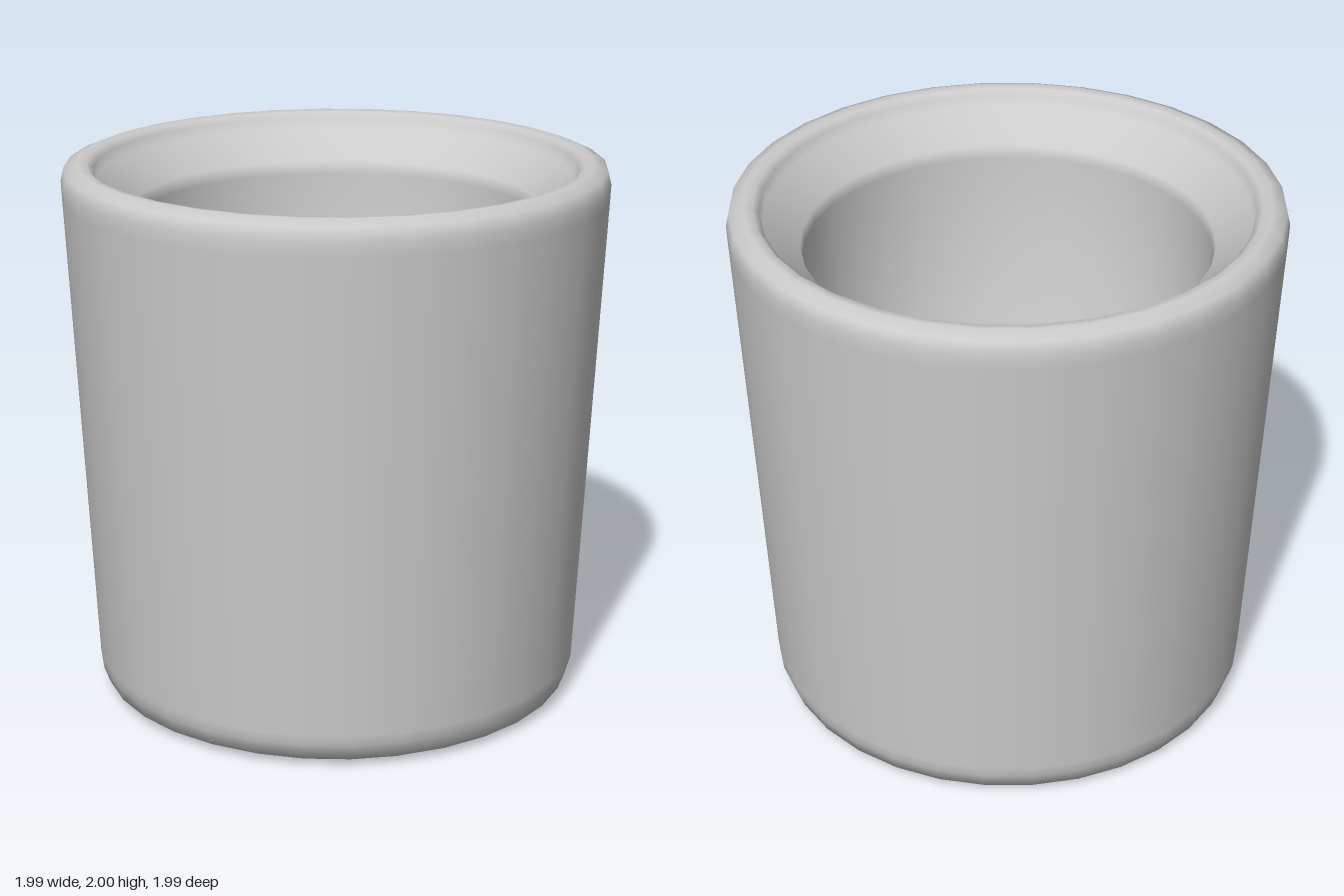
import * as THREE from 'three';

const SIDES = 32;

// One closed profile: underside, outer wall, rounded lip, inner step, hollow and floor.
const PROFILE = [
  // flat underside with a soft bottom edge
  [0, 0], [0.80, 0], [0.835, 0.005], [0.882, 0.03], [0.905, 0.09],
  // tapered outer wall
  [0.907, 0.13], [0.993, 1.88],
  // rounded lip
  [0.995, 1.93], [0.983, 1.98], [0.935, 2.0], [0.90, 1.995], [0.878, 1.975],
  // sunken step inside the lip
  [0.868, 1.94], [0.74, 1.83],
  // tapered hollow and its floor
  [0.735, 1.78], [0.68, 0.32], [0, 0.30],
];

export function createModel() {
  const model = new THREE.Group();
  model.name = 'cup';
  const points = PROFILE.map(([r, y]) => new THREE.Vector2(r, y));
  const body = new THREE.Mesh(
    new THREE.LatheGeometry(points, SIDES),
    new THREE.MeshStandardMaterial({ color: 0xcccccc })
  );
  body.name = 'cupBody';
  model.add(body);
  return model;
}
